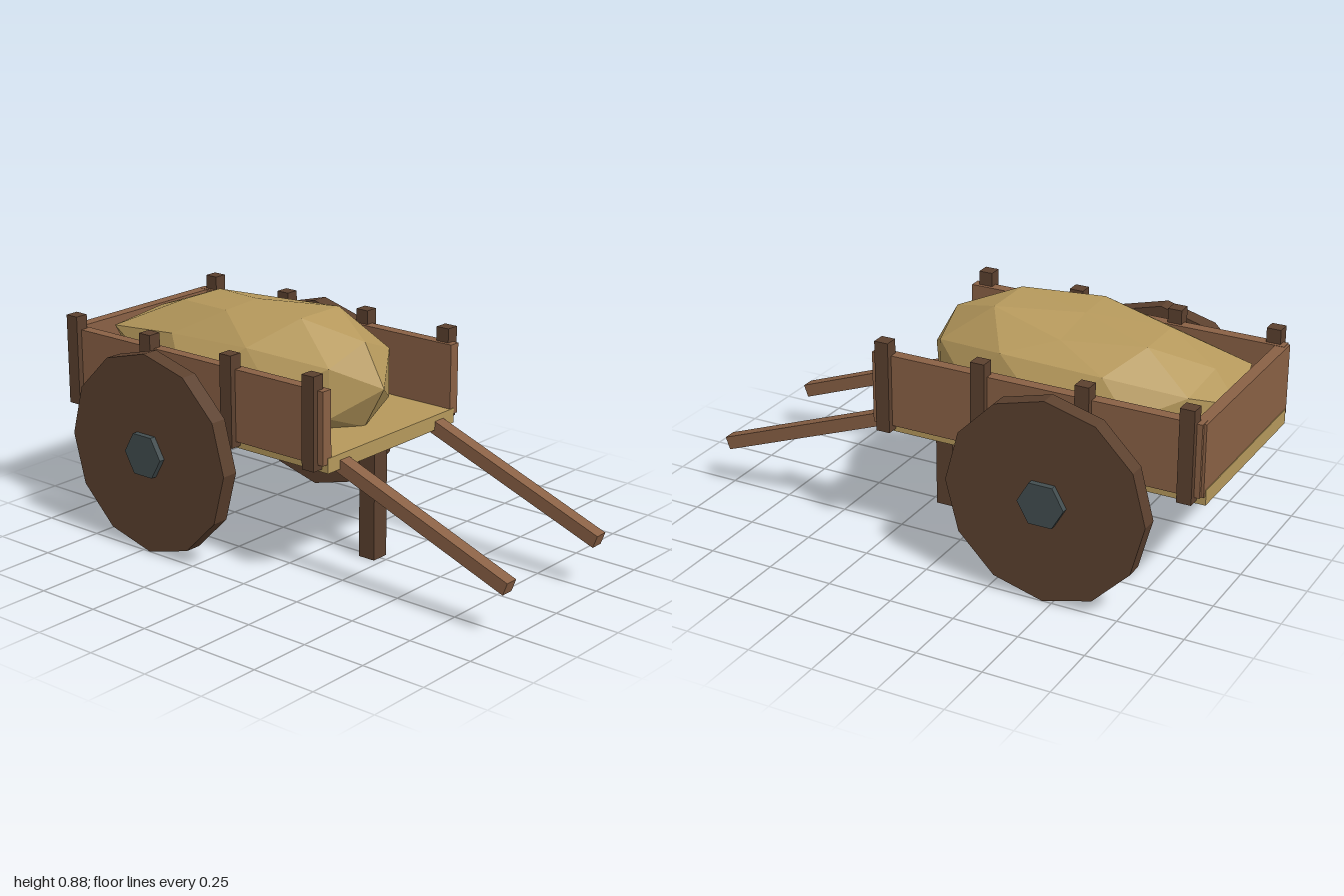
import * as THREE from 'three';

const paint = (name, color) => {
  const m = new THREE.MeshStandardMaterial({ color });
  m.name = name;
  m.flatShading = true;
  return m;
};

export function createModel() {
  const cart = new THREE.Group();
  cart.name = 'handcart';
  const plank = paint('plankWood', 0x8a6145);
  const dark = paint('darkWood', 0x5c412f);
  const pale = paint('paleStraw', 0xb6995c);
  const iron = paint('iron', 0x434e50);

  const add = (name, geometry, material, x, y, z) => {
    const mesh = new THREE.Mesh(geometry, material);
    mesh.name = name;
    mesh.position.set(x, y, z);
    cart.add(mesh);
    return mesh;
  };
  // Box given by its min and max on each axis
  const block = (name, material, [x0, x1], [y0, y1], [z0, z1]) =>
    add(name, new THREE.BoxGeometry(x1 - x0, y1 - y0, z1 - z0), material,
      (x0 + x1) / 2, (y0 + y1) / 2, (z0 + z1) / 2);

  // Bed, end wall and prop leg
  block('bed', pale, [-0.998, 0.278], [0.443, 0.499], [-0.362, 0.362]);
  block('endWall', plank, [-0.995, -0.95], [0.476, 0.745], [-0.375, 0.375]);
  block('propLeg', dark, [0.152, 0.222], [0, 0.445], [-0.036, 0.036]);

  for (const s of [-1, 1]) {
    const side = s > 0 ? 'front' : 'back';
    const span = (a, b) => (s > 0 ? [a, b] : [-b, -a]);

    // Side wall with its posts
    block(side + 'Wall', plank, [-0.985, 0.275], [0.476, 0.746], span(0.342, 0.386));
    for (const x of [-0.938, -0.556, -0.158, 0.224]) {
      block(side + 'Post', dark, [x - 0.027, x + 0.027], [0.455, 0.8], span(0.356, 0.408));
    }

    // Solid twelve-sided wheel with a hexagonal hub
    const wheel = new THREE.CylinderGeometry(0.381, 0.381, 0.065, 12).rotateX(Math.PI / 2);
    add(side + 'Wheel', wheel, dark, -0.465, 0.384, s * 0.472);
    const hub = new THREE.CylinderGeometry(0.089, 0.089, 0.107, 6, 1, false, Math.PI / 6).rotateX(Math.PI / 2);
    add(side + 'Hub', hub, iron, -0.465, 0.384, s * 0.4735);

    // Sloping handle
    const handle = add(side + 'Handle', new THREE.BoxGeometry(0.772, 0.05, 0.051), plank, 0.627, 0.319, s * 0.272);
    handle.rotation.z = -0.358;
  }

  // Faceted bulging load: a stretched icosphere, taller toward the handles
  const load = new THREE.IcosahedronGeometry(1, 1).rotateZ(Math.PI / 2);
  // Bumps and dents: direction of a corner, then its offset
  const dents = [
    [0, 1, 0, -0.01, -0.035, 0],
    [0, 0.851, -0.526, 0, -0.035, 0],
    [0, 0, 1, -0.03, 0, 0.045],
    [-0.809, 0.309, 0.5, -0.08, 0, 0.03],
    [-0.5, 0.809, 0.309, 0, 0, -0.01],
    [-0.309, 0.5, -0.809, -0.02, 0, 0.01],
  ];
  const p = load.attributes.position;
  const v = new THREE.Vector3();
  for (let i = 0; i < p.count; i++) {
    v.fromBufferAttribute(p, i);
    const dent = dents.find((d) => Math.hypot(v.x - d[0], v.y - d[1], v.z - d[2]) < 0.05);
    const [, , , dx, dy, dz] = dent || [0, 0, 0, 0, 0, 0];
    p.setXYZ(i, v.x * 0.595 + dx, v.y * (0.265 + 0.045 * v.x) + dy, v.z * 0.343 + dz);
  }
  load.computeVertexNormals();
  add('load', load, pale, -0.36, 0.652, 0);

  return cart;
}
